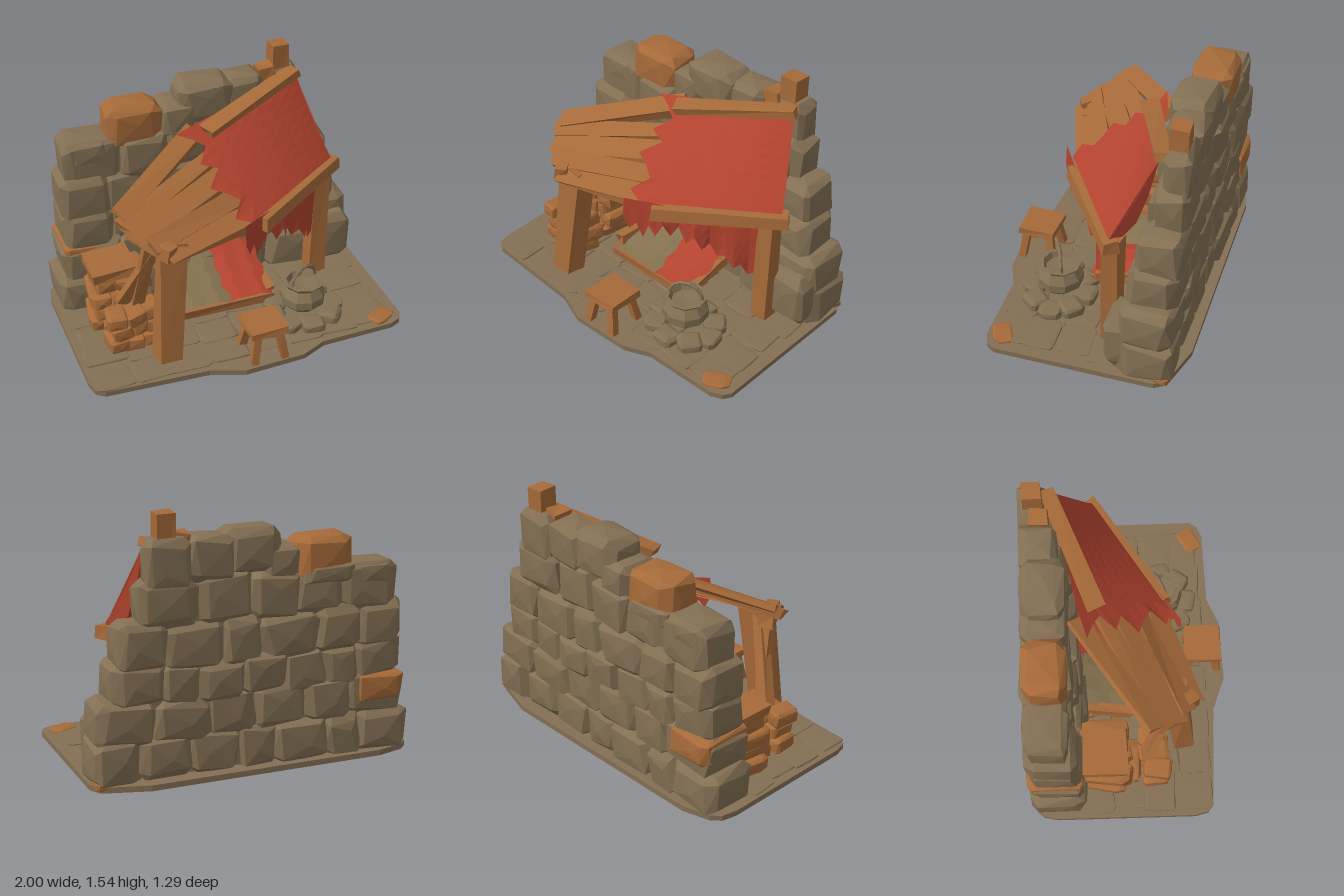
import * as THREE from 'three';
import { ConvexGeometry } from 'three/addons/geometries/ConvexGeometry.js';

export function createModel() {
  const root = new THREE.Group();
  root.name = 'ruinedShelter';
  const material = (name, color, extra = {}) => {
    const m = new THREE.MeshStandardMaterial({ color, flatShading: true, ...extra });
    m.name = name;
    return m;
  };
  const stone = material('stone', 0x836f53);
  const wood = material('wood', 0xa66a39);
  const cloth = material('redCloth', 0xb2432f, { side: THREE.DoubleSide });
  const linen = material('linen', 0x85714f, { side: THREE.DoubleSide });

  let seed = 11;
  const rand = () => (seed = (seed * 16807) % 2147483647) / 2147483647;
  const vary = (a) => (rand() * 2 - 1) * a;
  const V = (p) => new THREE.Vector3(...p);
  const group = (name) => {
    const g = new THREE.Group();
    g.name = name;
    root.add(g);
    return g;
  };
  const add = (parent, name, geometry, mat) => {
    const m = new THREE.Mesh(geometry, mat);
    m.name = name;
    parent.add(m);
    return m;
  };

  // Chunky boulder: hull of a box with unevenly cut corners and bulging faces
  function rock(parent, name, pos, size, mat = stone, cut = 0.64) {
    const pts = [];
    const put = (c) => pts.push(new THREE.Vector3(c[0] * size[0] / 2, c[1] * size[1] / 2, c[2] * size[2] / 2));
    for (let k = 0; k < 3; k++) for (const s of [-1, 1]) {
      put([0, 1, 2].map((i) => (i === k ? s : vary(0.3))));
      for (const p of [-1, 1]) for (const q of [-1, 1]) {
        const side = [p, q];
        put([0, 1, 2].map((i) => (i === k ? s * (0.97 - rand() * 0.07) : side.pop() * (cut + vary(0.15)))));
      }
    }
    const m = add(parent, name, new ConvexGeometry(pts), mat);
    m.position.set(...pos);
    return m;
  }

  // Hewn timber from a to b with uneven ends
  function timber(parent, name, a, b, w, h, rough = 0.012, roll = 0) {
    const A = V(a), B = V(b), dir = B.clone().sub(A);
    const upright = Math.abs(dir.y) > dir.length() * 0.75;
    const g = new THREE.BoxGeometry(w, upright ? dir.length() : h, upright ? h : dir.length());
    const corners = {};
    const p = g.attributes.position;
    for (let i = 0; i < p.count; i++) {
      const v = new THREE.Vector3().fromBufferAttribute(p, i);
      const key = [v.x > 0, v.y > 0, v.z > 0].join();
      corners[key] ??= new THREE.Vector3(vary(rough), vary(rough), vary(rough));
      v.add(corners[key]);
      p.setXYZ(i, v.x, v.y, v.z);
    }
    const m = add(parent, name, g, wood);
    m.position.copy(A).add(B).multiplyScalar(0.5);
    if (upright) m.quaternion.setFromUnitVectors(new THREE.Vector3(0, 1, 0), dir.normalize());
    else m.lookAt(B);
    m.rotateZ(upright ? 0 : roll);
    return m;
  }

  // Bent sheet: a plane whose points follow fn(u, v)
  function sheet(parent, name, nu, nv, fn, mat) {
    const g = new THREE.PlaneGeometry(1, 1, nu, nv);
    const p = g.attributes.position;
    for (let i = 0; i < p.count; i++) {
      const c = i % (nu + 1), r = Math.floor(i / (nu + 1));
      p.setXYZ(i, ...fn(c / nu, r / nv, c, r));
    }
    g.computeVertexNormals();
    return add(parent, name, g, mat);
  }

  // Ground slab with loose paving
  const ground = group('ground');
  const outline = [[-1, -0.44], [-0.98, -0.53], [-0.93, -0.58], [-0.76, -0.63], [0.68, -0.645], [0.95, -0.57], [0.995, -0.5], [1, 0.47],
    [0.97, 0.52], [0.9, 0.55], [0.44, 0.56], [0.28, 0.63], [-0.1, 0.645], [-0.3, 0.57], [-0.93, 0.535], [-0.98, 0.5], [-1, 0.42]];
  const slab = new THREE.ExtrudeGeometry(new THREE.Shape(outline.map((p) => new THREE.Vector2(...p))), { depth: 0.034, bevelEnabled: false });
  slab.rotateX(Math.PI / 2).translate(0, 0.034, 0);
  add(ground, 'slab', slab, stone);
  for (let i = 0; i < 8; i++) for (let j = 0; j < 4; j++) {
    rock(ground, 'pavingStone', [-0.84 + i * 0.235 + vary(0.02), 0.03, -0.18 + j * 0.2 + vary(0.02)],
      [0.25 + vary(0.03), 0.022 + rand() * 0.012, 0.2], stone, 0.8).rotation.y = vary(0.1);
  }
  rock(ground, 'stainedPaving', [0.87, 0.034, 0.46], [0.17, 0.036, 0.12], wood).rotation.y = 0.5;
  rock(ground, 'stainedPaving', [0.92, 0.03, -0.53], [0.12, 0.05, 0.1], wood);

  // Back wall: courses of boulders [bottom, top, left end, right end, front z, count]
  const wall = group('backWall');
  const courses = [
    [0.02, 0.27, -0.95, 0.97, -0.25, 7], [0.25, 0.49, -0.92, 0.95, -0.27, 6], [0.46, 0.69, -0.9, 0.86, -0.29, 7],
    [0.66, 0.92, -0.9, 0.82, -0.31, 6], [0.89, 1.15, -0.86, 0.7, -0.32, 5]];
  courses.forEach(([y0, y1, x0, x1, zf, n], row) => {
    const cuts = [...Array(n + 1)].map((_, i) => x0 + (x1 - x0) * i / n + (i % n ? vary(0.045) : 0));
    for (let i = 0; i < n; i++) {
      const behindAwning = row === 4 && i === n - 1;
      const back = -0.6 + vary(0.015), front = (behindAwning ? -0.4 : zf) + vary(0.025);
      rock(wall, 'wallStone', [(cuts[i] + cuts[i + 1]) / 2, (y0 + y1) / 2 + vary(0.015), (back + front) / 2],
        [cuts[i + 1] - cuts[i] + 0.045, y1 - y0 + 0.035, front - back]).rotation.z = vary(0.06);
    }
  });
  const core = add(wall, 'rubbleCore', new THREE.BoxGeometry(1.44, 1.0, 0.19), stone);
  core.position.set(-0.08, 0.54, -0.45);
  rock(wall, 'cornerStone', [0.82, 0.21, -0.33], [0.28, 0.38, 0.32]);
  rock(wall, 'stainedCap', [-0.77, 0.415, -0.44], [0.32, 0.17, 0.35], wood, 0.72);
  // Broken top course: [x, y, z, width, height, depth]
  [[-0.72, 1.09, -0.46, 0.28, 0.15, 0.27], [-0.14, 1.2, -0.46, 0.24, 0.22, 0.27], [0.03, 1.29, -0.46, 0.36, 0.27, 0.27],
    [0.28, 1.26, -0.48, 0.29, 0.28, 0.23], [0.54, 1.23, -0.515, 0.27, 0.34, 0.17], [-0.43, 1.12, -0.52, 0.34, 0.12, 0.17]]
    .forEach(([x, y, z, ...size]) => rock(wall, 'topStone', [x, y, z], size));
  rock(wall, 'stainedTopStone', [-0.42, 1.21, -0.46], [0.36, 0.27, 0.27], wood);

  // Posts, braces and main beams
  const frame = group('timberFrame');
  timber(frame, 'tallPost', [0.545, 1.0, -0.505], [0.545, 1.53, -0.505], 0.11, 0.11, 0.006);
  timber(frame, 'wallStub', [0.4, 1.36, -0.47], [0.5, 1.37, -0.47], 0.11, 0.08);
  timber(frame, 'leftPost', [-0.49, 0.03, 0.36], [-0.43, 0.83, 0.29], 0.15, 0.12);
  timber(frame, 'rightPost', [0.69, 0.03, -0.15], [0.7, 0.79, -0.17], 0.11, 0.1);
  timber(frame, 'brace', [-0.69, 0.34, 0.12], [-0.48, 0.82, 0.26], 0.06, 0.06);
  timber(frame, 'brace', [-0.61, 0.3, 0.14], [-0.54, 0.84, 0.27], 0.07, 0.05);
  timber(frame, 'crossBeam', [-0.46, 0.8, 0.4], [-0.62, 0.86, 0.16], 0.08, 0.08);
  timber(frame, 'upperBeam', [-0.04, 1.205, -0.16], [0.63, 1.365, -0.43], 0.1, 0.05);
  timber(frame, 'lowerBeam', [0.14, 0.77, 0.25], [0.81, 0.8, -0.19], 0.09, 0.075);

  // Sloping roof planks
  const roof = group('roofPlanks');
  [[[-0.69, 0.97, 0.17], [-0.08, 1.15, -0.28], 0.11], [[-0.7, 0.92, 0.22], [-0.02, 1.04, -0.14], 0.1],
    [[-0.65, 0.87, 0.29], [0.02, 0.97, -0.02], 0.12], [[-0.57, 0.84, 0.35], [0.05, 0.88, 0.08], 0.12],
    [[-0.48, 0.8, 0.38], [0.09, 0.79, 0.19], 0.13]]
    .forEach(([a, b, w]) => timber(roof, 'plank', a, b, w, 0.045, 0.018, 0.45));

  // Torn awning and its hanging drape
  const awning = group('awning');
  const A = V([-0.13, 1.2, -0.25]), B = V([0.63, 1.335, -0.41]), C = V([0.78, 0.84, -0.17]), D = V([0.06, 0.8, 0.29]);
  sheet(awning, 'awningCloth', 8, 9, (u, v, c, r) => {
    const p = A.clone().lerp(B, u).lerp(D.clone().lerp(C, u), v);
    const sag = Math.sin(Math.PI * v) * 0.02 * u;
    p.y += 0.01 - sag;
    p.z -= sag * 0.3;
    if (c === 0) p.add(new THREE.Vector3(-1, -0.15, 0.4).multiplyScalar([0.09, 0.02, -0.03, 0.06, -0.02][r % 5]));
    return p.toArray();
  }, cloth);
  sheet(awning, 'sideFlap', 4, 3, (u, v) => {
    const p = B.clone().lerp(C, u), hang = v * Math.sin(Math.PI * u);
    return [p.x - 0.02 * hang, p.y - 0.17 * hang, p.z - 0.01 * hang];
  }, cloth);
  sheet(awning, 'tornCorner', 6, 3, (u, v, c) => {
    const drop = [0.13, 0.21, 0.16, 0.26, 0.15, 0.2, 0.08][c];
    return [0.01 + 0.2 * u, 0.84 - drop * v - 0.02 * u, 0.34 - 0.13 * u + 0.01 * v];
  }, cloth);
  sheet(awning, 'raggedDrape', 14, 3, (u, v, c) => {
    const drop = 0.15 + 0.25 * u * u + (c % 2 ? 0.07 : 0.02 * Math.sin(c * 2.7));
    const fold = 0.015 * Math.sin(c * 1.3) * v;
    return [0.1 + 0.56 * u + fold, 0.79 - 0.02 * u - drop * v, 0.24 - 0.35 * u + fold];
  }, cloth);

  // Firewood stack
  const stack = group('firewood');
  const log = (pos, size) => rock(stack, 'log', pos, size, wood, 0.7).rotation.set(vary(0.1), vary(0.25), vary(0.3));
  for (let r = 0; r < 4; r++) for (let i = 0; i < 3; i++) {
    const x = -0.77 + i * 0.105 + (r % 2) * 0.03, y = 0.085 + r * 0.088;
    log([x, y, -0.13 + vary(0.02)], [0.14, 0.1, 0.3]);
    if (r < 3) log([x + 0.02, y + 0.01, 0.17 + vary(0.02)], [0.13, 0.1, 0.17]);
  }
  rock(stack, 'lowLog', [-0.66, 0.1, 0.03], [0.26, 0.12, 0.12], wood);
  timber(stack, 'choppingBlock', [-0.685, 0.43, -0.28], [-0.685, 0.43, 0], 0.28, 0.06, 0.008, 0.04);

  // Bed with linen and a red blanket
  const bed = group('bed');
  for (let i = 0; i < 4; i++) {
    timber(bed, 'bedSlat', [-0.36 + vary(0.02), 0.08, 0.05 - i * 0.1], [0.29 + vary(0.02), 0.08 + i * 0.025, 0.05 - i * 0.1], 0.09, 0.06);
  }
  timber(bed, 'bedEnd', [-0.34, 0.14, 0.04], [-0.3, 0.17, -0.28], 0.06, 0.06);
  timber(bed, 'bedEnd', [0.29, 0.11, 0.07], [0.28, 0.16, -0.27], 0.05, 0.05);
  const cover = (name, x0, x1, y0, rise, mat) => sheet(bed, name, 4, 6, (u, v, c, r) => [
    x0 + (x1 - x0) * u + 0.02 * (r % 2), y0 + rise * (1 - v) ** 1.4 + 0.015 * Math.sin(Math.PI * u) + (c % 2) * 0.008, -0.3 + 0.4 * v], mat);
  cover('linenSheet', -0.32, 0.02, 0.12, 0.12, linen);
  cover('redBlanket', 0, 0.29, 0.115, 0.17, cloth);

  // Stool
  const stool = group('stool');
  timber(stool, 'seat', [0.065, 0.235, 0.385], [0.065, 0.235, 0.615], 0.235, 0.042, 0.006);
  for (const sx of [-1, 1]) for (const sz of [-1, 1]) {
    timber(stool, 'leg', [0.065 + sx * 0.1, 0.03, 0.5 + sz * 0.1], [0.065 + sx * 0.065, 0.225, 0.5 + sz * 0.07], 0.045, 0.045, 0.004);
  }

  // Cooking pot on a ring of stones
  const hearth = group('hearth');
  for (let i = 0; i < 8; i++) {
    const a = i / 8 * Math.PI * 2;
    rock(hearth, 'hearthStone', [0.43 + Math.cos(a) * 0.19, 0.06, 0.25 + Math.sin(a) * 0.16], [0.14, 0.08 + vary(0.02), 0.15]).rotation.y = -a + vary(0.3);
  }
  const profile = [[0, 0.09], [0.09, 0.1], [0.14, 0.15], [0.14, 0.2], [0.105, 0.255], [0.13, 0.285], [0.105, 0.285], [0.09, 0.25], [0, 0.24]];
  const pot = add(hearth, 'pot', new THREE.LatheGeometry(profile.map((p) => new THREE.Vector2(...p)), 9), stone);
  pot.position.set(0.43, 0, 0.25);
  const handle = add(hearth, 'potHandle', new THREE.TorusGeometry(0.105, 0.012, 5, 7, Math.PI), stone);
  handle.position.set(0.43, 0.275, 0.25);
  handle.rotation.y = 0.4;

  return root;
}
